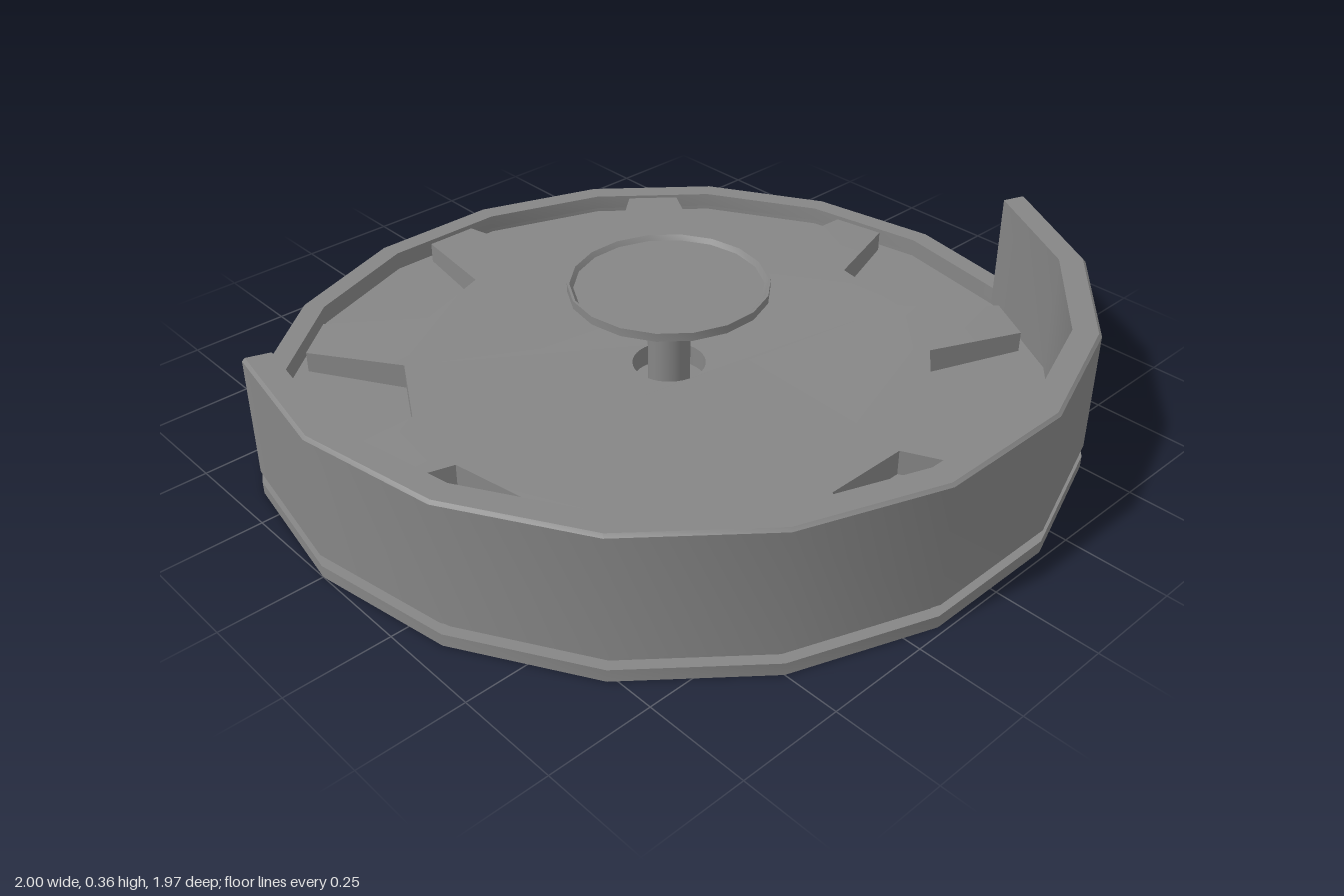
import * as THREE from 'three';
import { toCreasedNormals } from 'three/addons/utils/BufferGeometryUtils.js';

const SIDES = 18;
const rad = THREE.MathUtils.degToRad;
const material = new THREE.MeshStandardMaterial({ color: 0x868686 });
const doubleMaterial = new THREE.MeshStandardMaterial({ color: 0x868686, side: THREE.DoubleSide });

// Revolve a profile of [radius, y] points, ordered counterclockwise
function ring(profile, startDeg = 10, lengthDeg = 360) {
  const points = profile.map(([r, y]) => new THREE.Vector2(r, y));
  const segments = Math.round(SIDES * lengthDeg / 360);
  const geometry = new THREE.LatheGeometry(points, segments, rad(startDeg), rad(lengthDeg));
  return toCreasedNormals(geometry, 0.5);
}

// Closed upright band from y = 0.06 to the given top, with a softened outer edge
function bandProfile(inner, top) {
  const b = 0.007;
  return [[inner, 0.06], [1, 0.06], [1, top - b], [1 - b, top], [inner, top], [inner, 0.06]];
}

// Nine-toothed wheel outline with a hub hole
function gearShape() {
  const points = [];
  for (let i = 0; i < 9; i++) {
    const middle = 90 + i * 40;
    for (const [offset, r] of [[-10, 0.645], [-4.4, 0.9], [4.4, 0.9], [10, 0.645]]) {
      const a = rad(middle + offset);
      points.push(new THREE.Vector2(r * Math.cos(a), r * Math.sin(a)));
    }
  }
  const shape = new THREE.Shape(points);
  shape.holes.push(new THREE.Path().absarc(0, 0, 0.09, 0, Math.PI * 2, true));
  return shape;
}

export function createModel() {
  const model = new THREE.Group();
  const add = (name, geometry, mat = material) => {
    const mesh = new THREE.Mesh(geometry, mat);
    mesh.name = name;
    model.add(mesh);
    return mesh;
  };

  // Grooved base ring, chamfered underneath towards the floor
  add('baseRing', ring([[0.94, 0.04], [0.993, 0], [1, 0], [1, 0.03], [0.973, 0.03],
    [0.973, 0.06], [0.94, 0.06], [0.94, 0.04]]));

  // Recessed floor with a hole below the post
  add('floor', ring([[0.05, 0.04], [0.945, 0.04], [0.945, 0.05], [0.05, 0.05], [0.05, 0.04]]));

  // Low rim around the open half, tall wall around the other
  add('lowRim', ring(bandProfile(0.94, 0.098), 70, 180));
  const wallProfile = bandProfile(0.935, 0.362);
  add('wall', ring(wallProfile, -110, 180));
  const endShape = new THREE.Shape(wallProfile.map(([r, y]) => new THREE.Vector2(r, y)));
  for (const phi of [-110, 70]) {
    add('wallEnd', new THREE.ShapeGeometry(endShape), doubleMaterial).rotation.y = rad(phi - 90);
  }

  // Toothed wheel on the floor, sloping down to the tooth tips and the hub
  const gear = new THREE.ExtrudeGeometry(gearShape(),
    { depth: 0.067, bevelEnabled: false, curveSegments: 18 });
  gear.rotateX(-Math.PI / 2);
  gear.translate(0, 0.048, 0);
  const p = gear.attributes.position;
  for (let i = 0; i < p.count; i++) {
    const r = Math.hypot(p.getX(i), p.getZ(i));
    if (p.getY(i) > 0.1 && (r > 0.8 || r < 0.1)) p.setY(i, 0.104);
  }
  add('toothedWheel', toCreasedNormals(gear, 0.5));

  // Hollow central post with a dished cap
  const post = new THREE.CylinderGeometry(0.052, 0.052, 0.272, SIDES, 1, true, rad(10));
  post.translate(0, 0.177, 0);
  add('post', post, doubleMaterial);
  add('cap', ring([[0, 0.311], [0.243, 0.311], [0.243, 0.332], [0.237, 0.332],
    [0.228, 0.32], [0, 0.32]]));

  return model;
}
